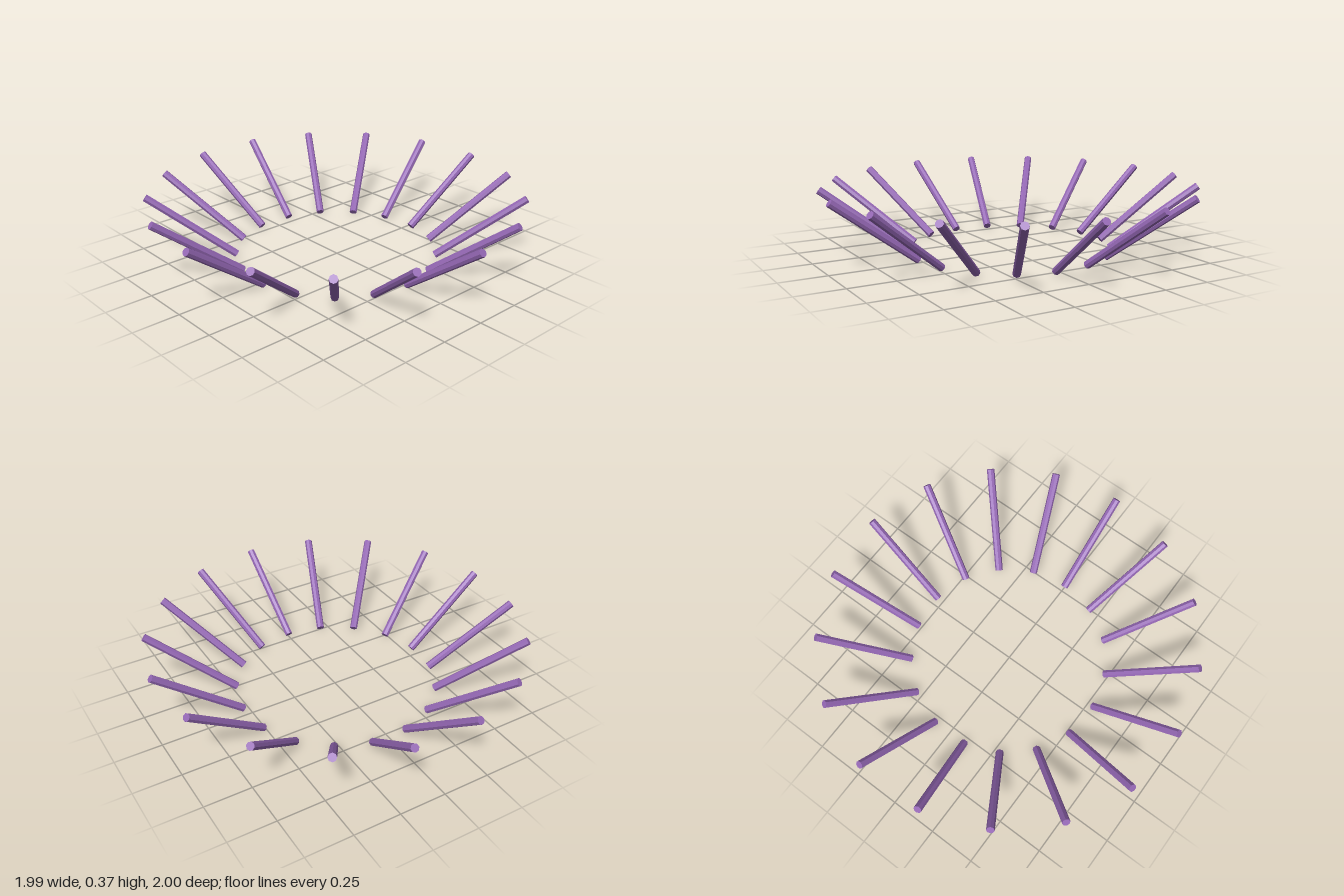
import * as THREE from 'three';

const ROD_COUNT = 17;
const ROD_RADIUS = 0.021;

export function createModel() {
  const model = new THREE.Group();
  model.name = 'rodRing';

  const purple = new THREE.MeshStandardMaterial({ color: 0x9467b4, flatShading: true });
  purple.name = 'purple';

  // Axis of one rod, leaning outwards in the xy plane
  const inner = new THREE.Vector3(0.534, 0.017, 0);
  const outer = new THREE.Vector3(0.992, 0.355, 0);
  const axis = outer.clone().sub(inner);

  // Shared eight-sided rod, tilted onto that axis
  const geometry = new THREE.CylinderGeometry(ROD_RADIUS, ROD_RADIUS, axis.length(), 8);
  geometry.rotateZ(-Math.atan2(axis.x, axis.y));
  geometry.translate((inner.x + outer.x) / 2, (inner.y + outer.y) / 2, 0);

  // Even ring of rods, starting on the +x side
  for (let i = 0; i < ROD_COUNT; i++) {
    const rod = new THREE.Mesh(geometry, purple);
    rod.name = `rod${i + 1}`;
    rod.rotation.y = (i / ROD_COUNT) * Math.PI * 2;
    rod.position.x = -0.0085; // centres the odd-numbered ring
    model.add(rod);
  }
  return model;
}
